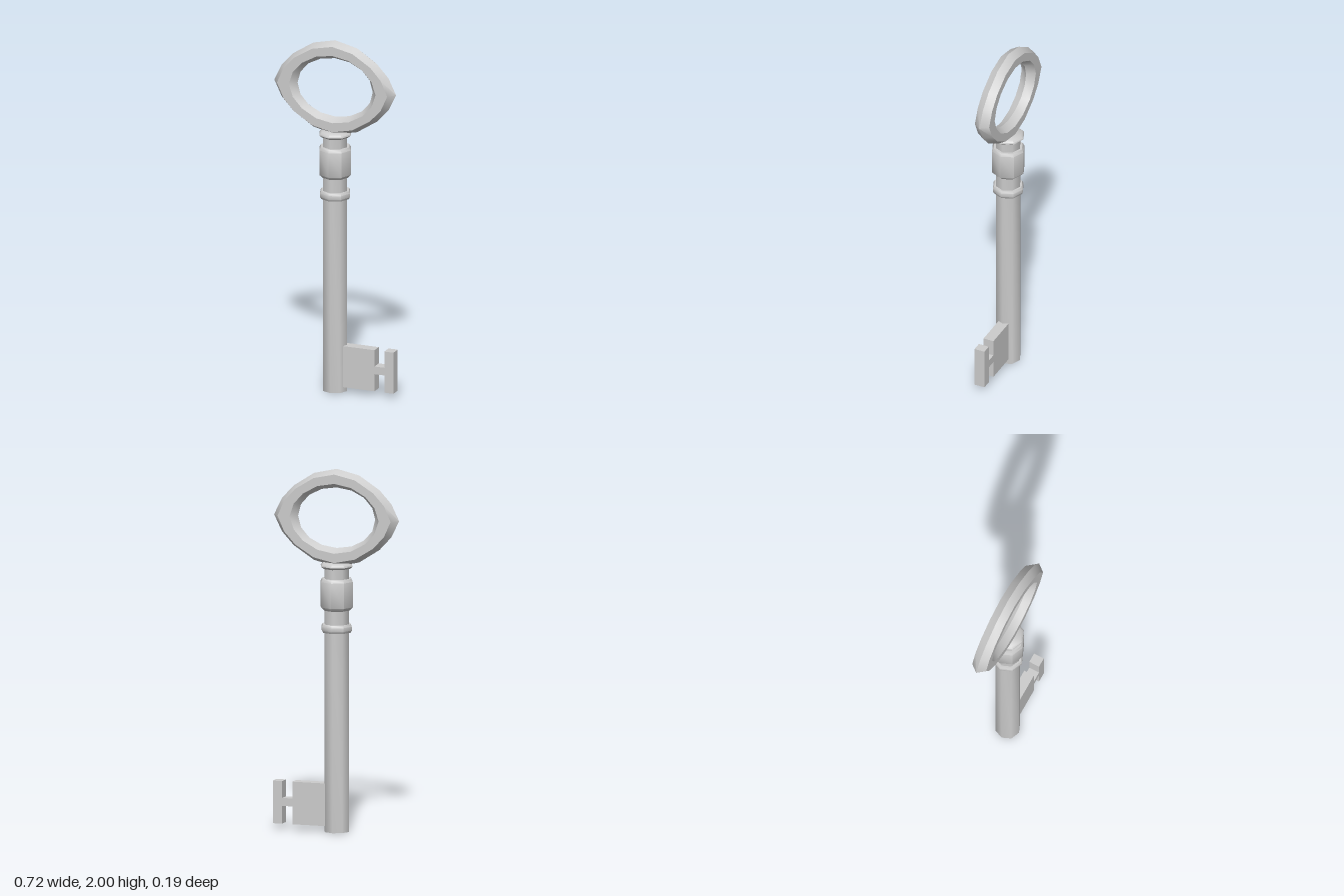
import * as THREE from 'three';
import { toCreasedNormals } from 'three/addons/utils/BufferGeometryUtils.js';

const material = new THREE.MeshStandardMaterial({ color: 0xcccccc });

function addPart(group, name, geometry) {
  const mesh = new THREE.Mesh(geometry, material);
  mesh.name = name;
  group.add(mesh);
  return mesh;
}

// Eight-sided turned part from [radius, height] pairs, bottom to top
function turned(profile) {
  const points = profile.map(([r, y]) => new THREE.Vector2(r, y));
  return toCreasedNormals(new THREE.LatheGeometry(points, 8).toNonIndexed(), 0.82);
}

// Pointed oval ring with a six-sided cross-section
function bowGeometry() {
  const outerQuarter = [[0.36, 0], [0.315, 0.092], [0.247, 0.165], [0.13, 0.24], [0, 0.27]];
  const section = [[0, 0], [0.25, 0.043], [0.75, 0.043], [1, 0], [0.75, -0.043], [0.25, -0.043]];
  const n = 16, m = section.length, positions = [], index = [];
  for (let i = 0; i < n; i++) {
    const a = (i / n) * Math.PI * 2;
    const q = i % 8 <= 4 ? i % 8 : 8 - (i % 8);
    const sx = i > 4 && i < 12 ? -1 : 1, sy = i > 8 ? -1 : 1;
    const ox = outerQuarter[q][0] * sx, oy = outerQuarter[q][1] * sy;
    const ix = 0.222 * Math.cos(a), iy = 0.167 * Math.sin(a);
    for (const [t, z] of section) positions.push(ox + (ix - ox) * t, oy + (iy - oy) * t, z);
    for (let j = 0; j < m; j++) {
      const k = (i + 1) % n, l = (j + 1) % m;
      const p = i * m + j, r = k * m + j, s = k * m + l, u = i * m + l;
      index.push(p, r, s, p, s, u);
    }
  }
  const geometry = new THREE.BufferGeometry();
  geometry.setAttribute('position', new THREE.Float32BufferAttribute(positions, 3));
  geometry.setIndex(index);
  return toCreasedNormals(geometry.toNonIndexed(), 0.7);
}

export function createModel() {
  const key = new THREE.Group();
  key.name = 'key';

  // Shank with a blind bore in its lower end
  addPart(key, 'shank', turned([[0, 0.12], [0.042, 0.12], [0.042, 0], [0.07, 0], [0.07, 1.47]]));

  // Turned mouldings on the upper shank
  addPart(key, 'lowerCollar', turned([
    [0.068, 1.1], [0.081, 1.1], [0.088, 1.112], [0.088, 1.133], [0.081, 1.145], [0.068, 1.145]]));
  addPart(key, 'barrel', turned([
    [0.068, 1.222], [0.075, 1.222], [0.093, 1.24], [0.093, 1.38], [0.083, 1.396], [0.068, 1.396]]));
  addPart(key, 'upperCollar', turned([
    [0.068, 1.452], [0.077, 1.452], [0.092, 1.464], [0.09, 1.472], [0.077, 1.483], [0, 1.483]]));

  // Ring-shaped handle
  addPart(key, 'bow', bowGeometry()).position.y = 1.73;

  // Flat bit with a slot above and below the thin web
  const outline = [
    [0.055, 0.03], [0.245, 0.03], [0.245, 0.128], [0.303, 0.128], [0.303, 0.03], [0.357, 0.03],
    [0.357, 0.265], [0.303, 0.265], [0.303, 0.172], [0.245, 0.172], [0.245, 0.265], [0.055, 0.265]];
  const bit = new THREE.ExtrudeGeometry(
    new THREE.Shape(outline.map(([x, y]) => new THREE.Vector2(x, y))),
    { depth: 0.06, bevelEnabled: false });
  addPart(key, 'bit', bit).position.z = -0.03;

  return key;
}
